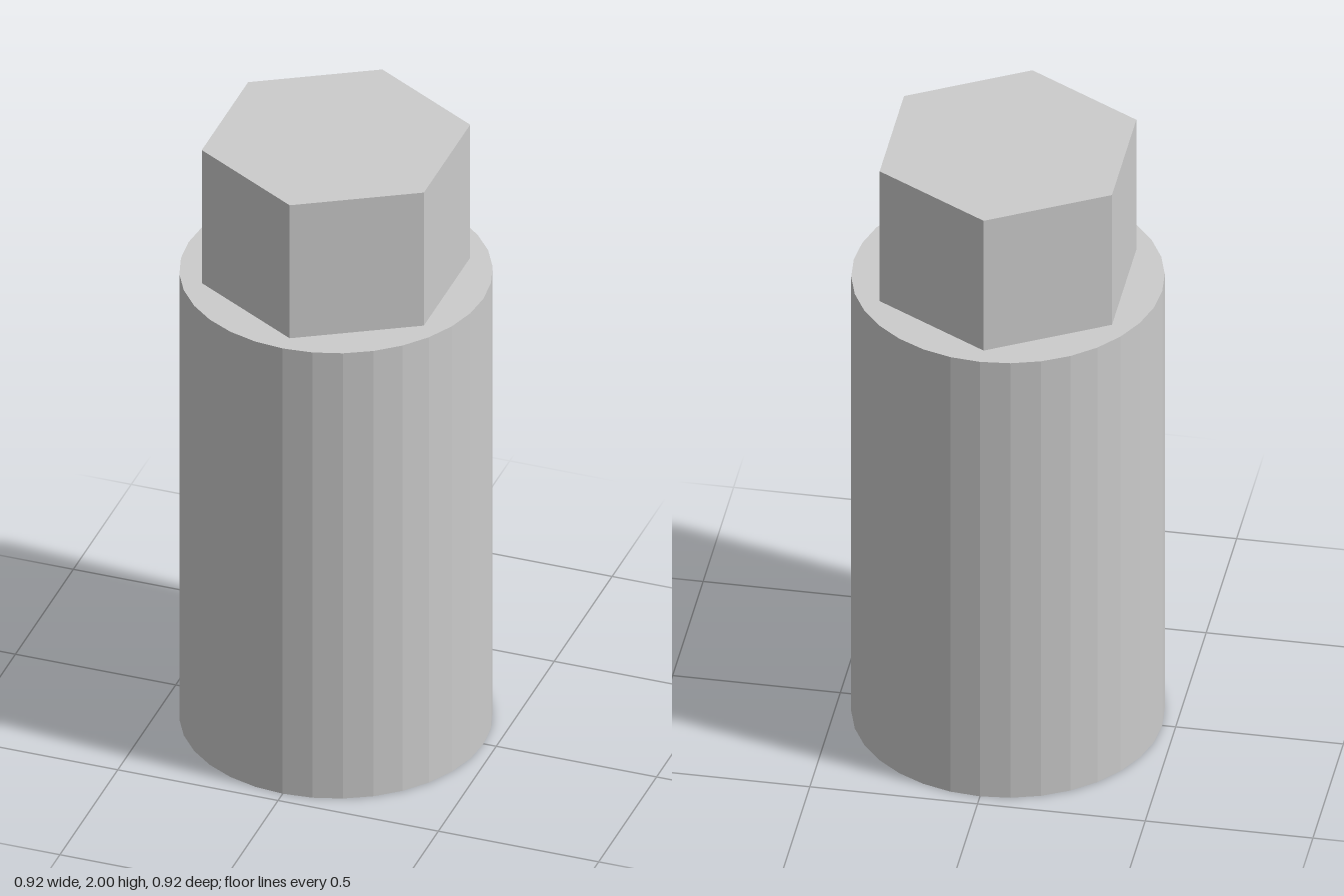
import * as THREE from 'three';

const material = new THREE.MeshStandardMaterial({ color: 0xcccccc, flatShading: true });

// Upright prism standing on height y0 and ending at y1
function prism(name, radius, y0, y1, sides) {
  const mesh = new THREE.Mesh(new THREE.CylinderGeometry(radius, radius, y1 - y0, sides), material);
  mesh.name = name;
  mesh.position.y = (y0 + y1) / 2;
  return mesh;
}

export function createModel() {
  const group = new THREE.Group();
  group.name = 'hexHeadedCylinder';
  // Faceted round body, with a hexagonal head whose corners point to front and back
  group.add(prism('body', 0.46, 0, 1.54, 32));
  group.add(prism('hexHead', 0.4, 1.54, 2, 6));
  return group;
}
